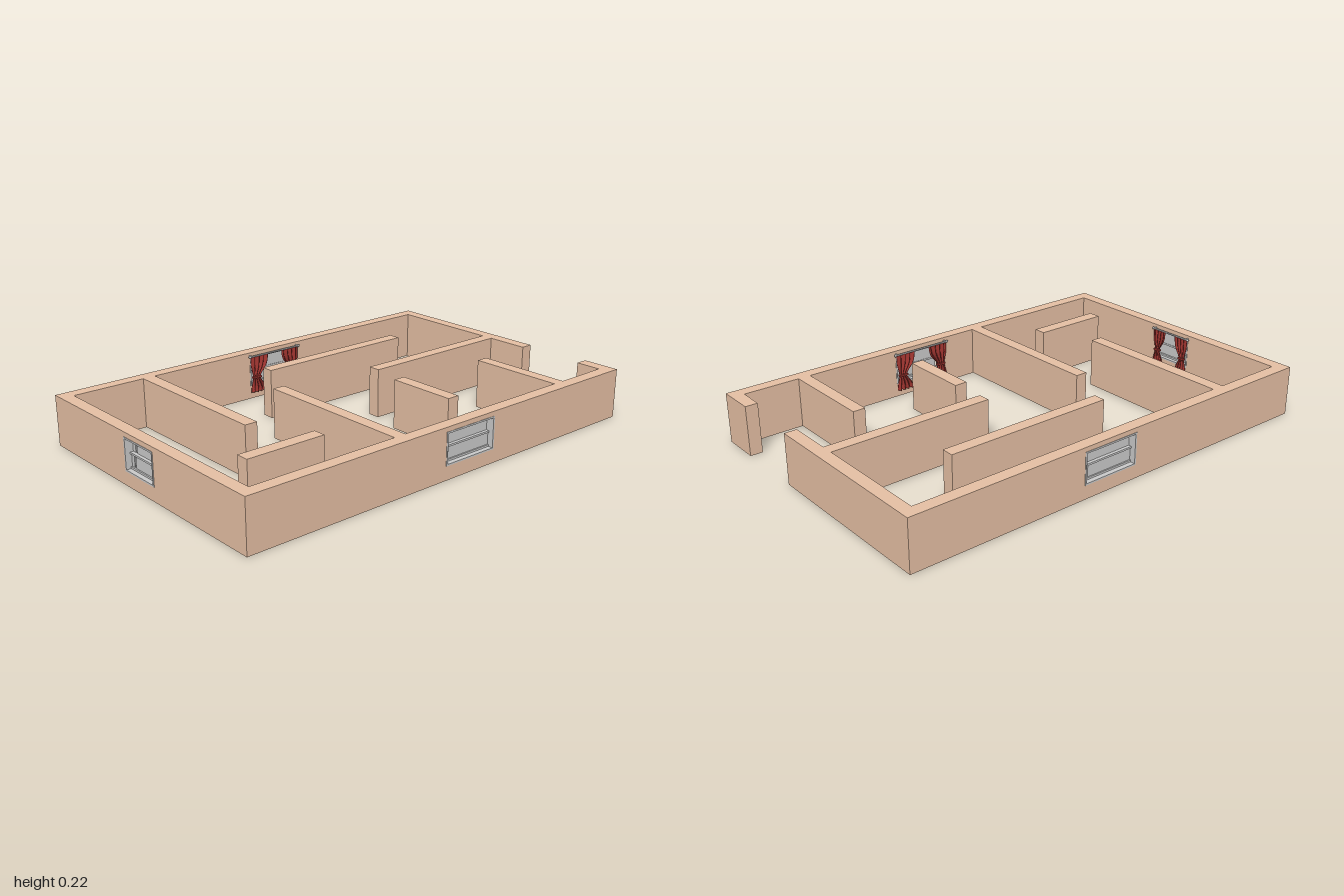
import * as THREE from 'three';

const H = 0.22, T = 0.055;
const wallMat = new THREE.MeshStandardMaterial({ color: 0xe6c0a4 });
const greyMat = new THREE.MeshStandardMaterial({ color: 0xcccccc });
const curtainMat = new THREE.MeshStandardMaterial({ color: 0xa03530, side: THREE.DoubleSide });

function add(parent, name, geometry, material, x = 0, y = 0, z = 0) {
  const mesh = new THREE.Mesh(geometry, material);
  mesh.name = name;
  mesh.position.set(x, y, z);
  parent.add(mesh);
  return mesh;
}

function box(parent, name, mat, x0, x1, y0, y1, z0, z1) {
  return add(parent, name, new THREE.BoxGeometry(x1 - x0, y1 - y0, z1 - z0), mat,
    (x0 + x1) / 2, (y0 + y1) / 2, (z0 + z1) / 2);
}

function rect(Type, x0, x1, y0, y1) {
  const s = new Type();
  s.moveTo(x0, y0);
  s.lineTo(x1, y0);
  s.lineTo(x1, y1);
  s.lineTo(x0, y1);
  s.closePath();
  return s;
}

// Extruded slab with one rectangular hole: [x0, x1, y0, y1] for each outline
function holedSlab(outer, inner, depth) {
  const shape = rect(THREE.Shape, ...outer);
  shape.holes.push(rect(THREE.Path, ...inner));
  return new THREE.ExtrudeGeometry(shape, { depth, bevelEnabled: false });
}

// Pleated drape, gathered toward its outer side (side = -1 or 1) by a tie
function drape(side, width, outerX) {
  const g = new THREE.PlaneGeometry(1, 1, 32, 16);
  const p = g.attributes.position;
  for (let i = 0; i < p.count; i++) {
    const u = p.getX(i) + 0.5, v = p.getY(i) + 0.5;
    const pinch = Math.exp(-(((v - 0.42) / 0.22) ** 2));
    const w = width * (1 - 0.55 * pinch) * (1 - 0.15 * (1 - v));
    const x = outerX - side * (u * w + 0.012 * pinch);
    const z = -0.012 + 0.007 * (1 - 0.4 * pinch) * Math.sin(u * Math.PI * 8);
    p.setXYZ(i, x, 0.03 + v * 0.172, z);
  }
  g.computeVertexNormals();
  return g;
}

// Window unit: x across, +z outdoors, z = 0 on the inner face of the wall
function windowUnit(name, w) {
  const g = new THREE.Group();
  g.name = name;
  const h = w / 2, y0 = 0.06, y1 = 0.2, mid = 0.13, b = 0.007;
  add(g, 'windowFrame', holedSlab([-h, h, y0, y1], [-h + b, h - b, y0 + b, y1 - b], T + 0.004), greyMat, 0, 0, -0.002);

  // Panes, with a narrow slit near one side
  const slit = -h + 0.026;
  for (const [a, c, z] of [[y0 + b, mid, 0.026], [mid, y1 - b, 0.018]]) {
    box(g, 'sidePane', greyMat, -h + b, slit, a, c, z, z + 0.004);
    box(g, 'mainPane', greyMat, slit + 0.01, h - b, a, c, z, z + 0.004);
  }
  // Sash rails
  for (const y of [y0 + b, mid - 0.004, y1 - b - 0.008])
    box(g, 'sashRail', greyMat, -h + b, h - b, y, y + 0.008, 0.016, 0.036);

  // Rod, finials, brackets and drapes on the indoor side
  const rodHalf = h + 0.008;
  add(g, 'curtainRod', new THREE.CylinderGeometry(0.004, 0.004, rodHalf * 2, 10), greyMat, 0, 0.203, -0.012).rotation.z = Math.PI / 2;
  for (const s of [-1, 1]) {
    add(g, 'rodFinial', new THREE.SphereGeometry(0.006, 10, 8), greyMat, s * rodHalf, 0.203, -0.012);
    box(g, 'rodBracket', greyMat, s * h - 0.003, s * h + 0.003, 0.198, 0.208, -0.012, 0);
    const width = w * 0.37;
    add(g, 'curtain', drape(s, width, s * (h + 0.004)), curtainMat);
    const tie = s * (h - 0.008 - width * 0.21);
    box(g, 'curtainTie', curtainMat, tie - width * 0.23, tie + width * 0.23, 0.098, 0.106, -0.019, -0.005);
  }
  return g;
}

export function createModel() {
  const model = new THREE.Group();
  model.name = 'floorPlan';

  // Outer walls with window openings
  const hole = (c, w) => [c - w / 2, c + w / 2, 0.06, 0.2];
  const cx = 0.072, w = 0.267, sideZ = -0.013, sideW = 0.2;
  add(model, 'frontWall', holedSlab([-1, 1, 0, H], hole(cx, w), T), wallMat, 0, 0, 0.65 - T);
  add(model, 'backWall', holedSlab([-1, 1, 0, H], hole(cx, w), T), wallMat, 0, 0, -0.65);
  const left = add(model, 'sideWall', holedSlab([-0.65 + T, 0.65 - T, 0, H], hole(sideZ, sideW), T), wallMat, -1 + T, 0, 0);
  left.rotation.y = -Math.PI / 2;

  // Straight walls: [name, x0, x1, z0, z1]
  const walls = [
    ['longEntranceWall', 1 - T, 1, -0.65 + T, 0.167],
    ['shortEntranceWall', 1 - T, 1, 0.48, 0.65 - T],
    ['partition', -0.62, -0.563, -0.595, 0.132],
    ['partition', -0.283, -0.228, -0.13, 0.595],
    ['partition', -0.812, -0.458, 0.348, 0.405],
    ['partition', -0.145, 0.62, -0.382, -0.327],
    ['partition', 0.213, 0.945, -0.083, -0.028],
    ['partition', 0.173, 0.23, 0.115, 0.432],
    ['partition', 0.64, 0.695, 0.165, 0.595],
  ];
  for (const [name, x0, x1, z0, z1] of walls) box(model, name, wallMat, x0, x1, 0, H, z0, z1);

  // Windows
  const front = windowUnit('frontWindow', w);
  front.position.set(cx, 0, 0.65 - T);
  const back = windowUnit('backWindow', w);
  back.position.set(cx, 0, -0.65 + T);
  back.rotation.y = Math.PI;
  const side = windowUnit('sideWindow', sideW);
  side.position.set(-1 + T, 0, sideZ);
  side.rotation.y = -Math.PI / 2;
  model.add(front, back, side);
  return model;
}
